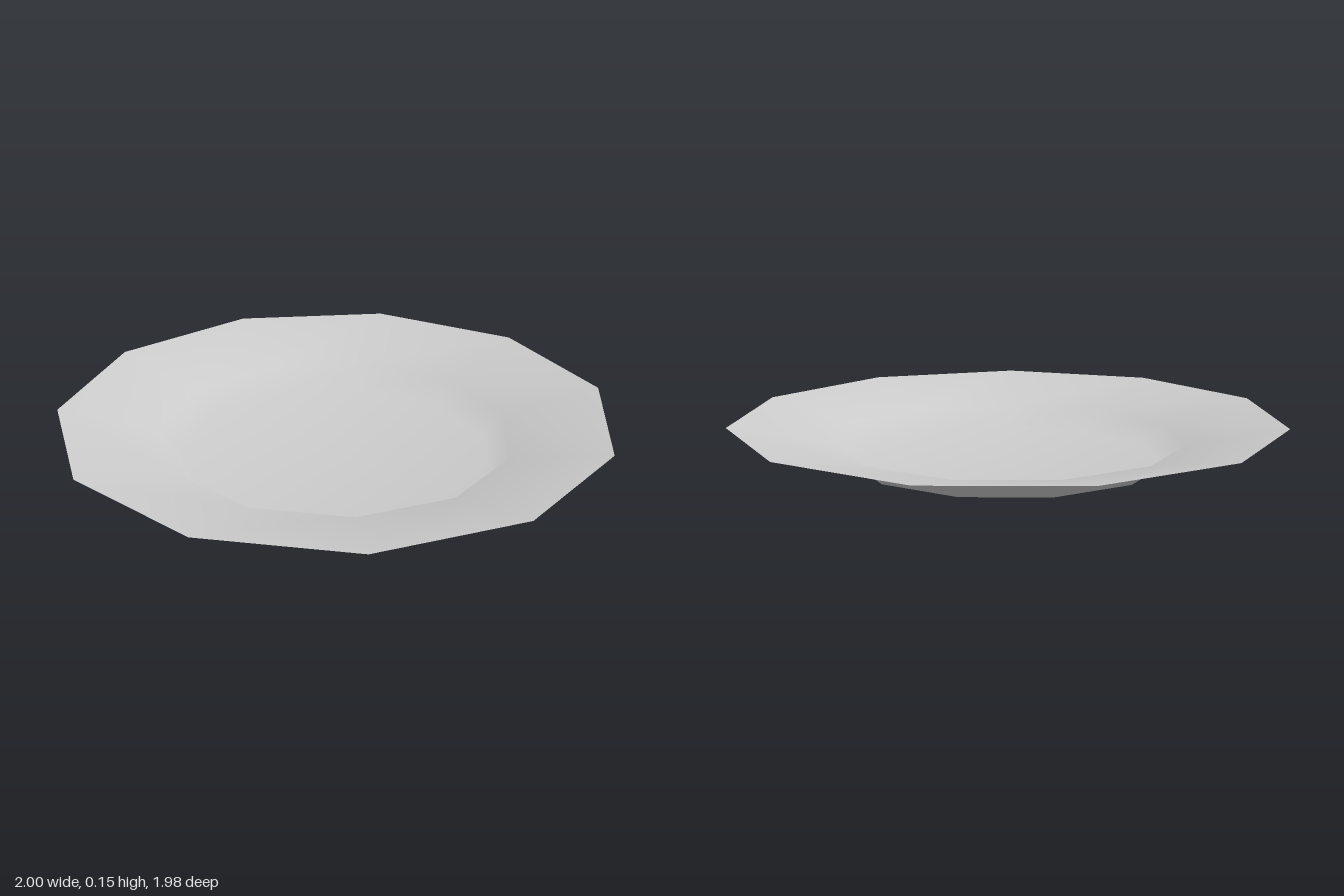
import * as THREE from 'three';

export function createModel() {
  const group = new THREE.Group();
  group.name = 'plate';

  const glaze = new THREE.MeshStandardMaterial({ color: 0xcccccc, side: THREE.DoubleSide });
  glaze.name = 'light grey glaze';

  // Thin shell profile: floor centre, floor edge, top of the well, outer rim
  const profile = [[0, 0], [0.567, 0], [0.645, 0.078], [1.0103, 0.147]]
    .map(([r, y]) => new THREE.Vector2(r, y));

  // Eleven sides with smooth normals, one corner pointing to the back
  const dish = new THREE.Mesh(new THREE.LatheGeometry(profile, 11, Math.PI), glaze);
  dish.name = 'dish';
  dish.position.z = 0.0205; // centres the uneven polygon on z = 0
  group.add(dish);

  return group;
}
